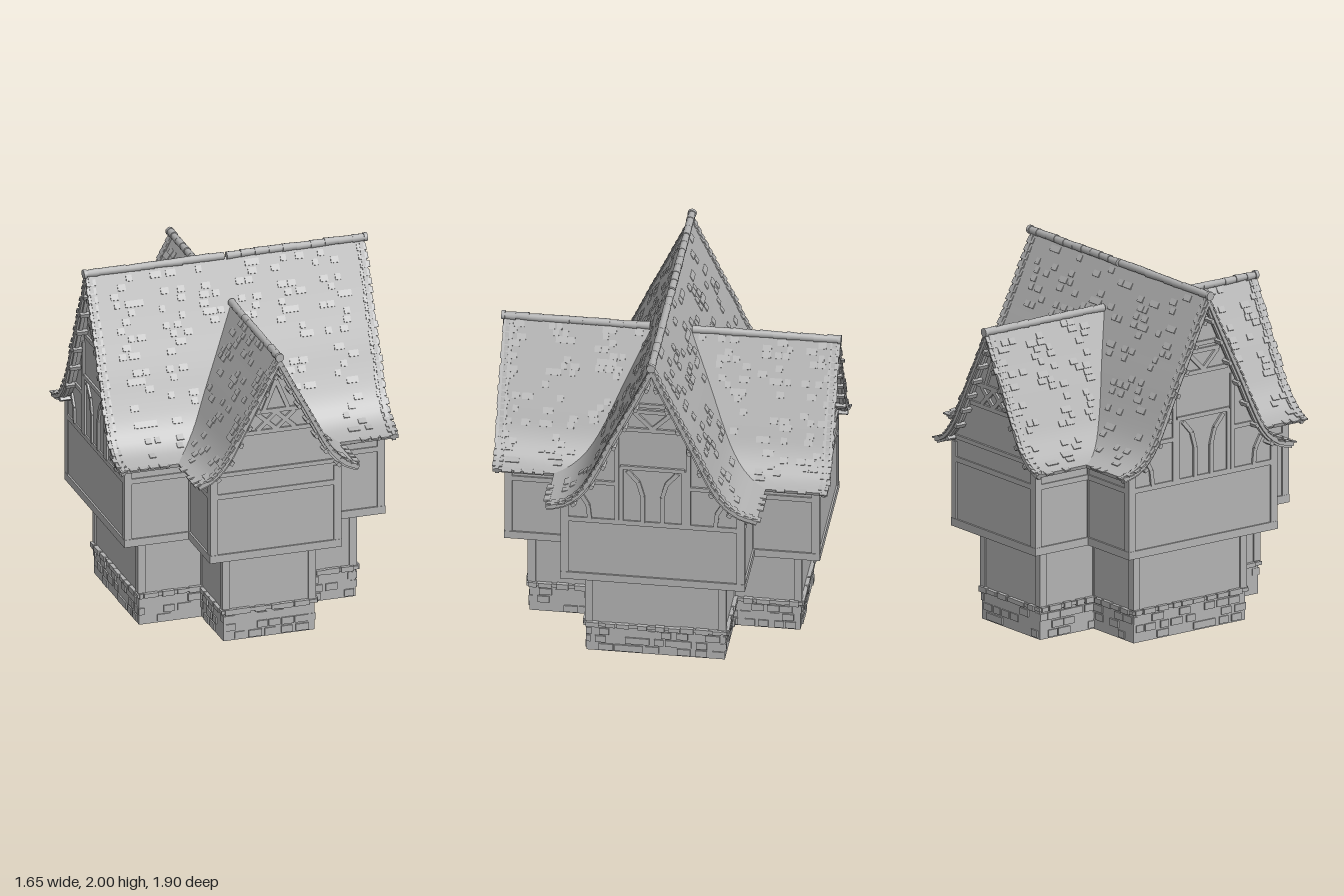
import * as THREE from 'three';
import { mergeGeometries } from 'three/addons/utils/BufferGeometryUtils.js';

const grey = new THREE.MeshStandardMaterial({ color: 0xb2b2b2, side: THREE.DoubleSide });
grey.name = 'plain grey';

let seed = 7;
const rnd = (a = 0, b = 1) => {
  seed = (seed * 16807) % 2147483647;
  return a + (b - a) * (seed / 2147483647);
};

function add(parent, name, geometry) {
  const mesh = new THREE.Mesh(Array.isArray(geometry) ? mergeGeometries(geometry) : geometry, grey);
  mesh.name = name;
  parent.add(mesh);
  return mesh;
}
const box = (w, h, d, x, y, z) => new THREE.BoxGeometry(w, h, d).translate(x, y, z);

// Cross-shaped plan: one wing x +-a by z +-b, the other x +-c by z +-d, grown by o
function plan([a, b, c, d], o = 0) {
  a += o; b += o; c += o; d += o;
  return [[a, -b], [a, b], [c, b], [c, d], [-c, d], [-c, b],
    [-a, b], [-a, -b], [-c, -b], [-c, -d], [c, -d], [c, -b]].map(p => new THREE.Vector2(...p));
}
function planSolid(dims, outer, inner, y0, y1) {
  const shape = new THREE.Shape(plan(dims, outer));
  if (inner !== null) shape.holes.push(new THREE.Path(plan(dims, inner)));
  return new THREE.ExtrudeGeometry(shape, { depth: y1 - y0, bevelEnabled: false })
    .rotateX(-Math.PI / 2).translate(0, y0, 0);
}
function cornerPosts(dims, y0, y1) {
  return plan(dims, -0.014).map(p => box(0.044, y1 - y0, 0.044, p.x, (y0 + y1) / 2, p.y));
}

// Roof profiles from ridge to eave
const curve = pts => new THREE.SplineCurve(pts.map(p => new THREE.Vector2(...p))).getSpacedPoints(24);
const mainProfile = curve([[0, 1.965], [0.14, 1.665], [0.24, 1.455], [0.31, 1.3], [0.37, 1.18],
  [0.43, 1.1], [0.5, 1.05], [0.59, 1.025]]);
const crossProfile = curve([[0, 1.73], [0.1, 1.54], [0.18, 1.39], [0.24, 1.275], [0.29, 1.18],
  [0.34, 1.11], [0.4, 1.055], [0.47, 1.025]]);

function widthAt(profile, y) {
  if (y >= profile[0].y) return 0;
  for (let i = 1; i < profile.length; i++) {
    const p = profile[i - 1], q = profile[i];
    if (y >= q.y) return p.x + (q.x - p.x) * (p.y - y) / (p.y - q.y);
  }
  return profile.at(-1).x;
}
const slopeAt = (profile, i) => {
  const p = profile[Math.max(i - 1, 0)], q = profile[Math.min(i + 1, profile.length - 1)];
  return Math.atan2(q.y - p.y, q.x - p.x);
};
function offset(profile, d) {
  return profile.map((p, i) => {
    const a = slopeAt(profile, i);
    if (i === 0) return new THREE.Vector2(0, p.y + d / Math.cos(a));
    return new THREE.Vector2(Math.max(0, p.x - Math.sin(a) * d), p.y + Math.cos(a) * d);
  });
}

// Ruled surface between two rows of points
function strip(A, B) {
  const pos = [], index = [];
  A.forEach((p, i) => {
    pos.push(...p, ...B[i]);
    if (i) index.push(2 * i - 2, 2 * i - 1, 2 * i, 2 * i, 2 * i - 1, 2 * i + 1);
  });
  const g = new THREE.BufferGeometry();
  g.setAttribute('position', new THREE.Float32BufferAttribute(pos, 3));
  g.setIndex(index);
  g.computeVertexNormals();
  return g;
}

function roofPanel(profile, other, end, s) {
  const under = offset(profile, -0.022);
  const inner = profile.map(p => Math.max(0, widthAt(other, p.y) - 0.012));
  const row = (pts, z) => pts.map((p, i) => [s * p.x, p.y, z ? z : inner[i]]);
  const t0 = row(profile), t1 = row(profile, end), b0 = row(under), b1 = row(under, end);
  return [strip(t0, t1), strip(b0, b1), strip(t1, b1),
    strip([t0.at(-1), t1.at(-1)], [b0.at(-1), b1.at(-1)])];
}

// Raised shingles: rough gable edge, eave row and scattered clusters
function shingles(profile, other, end, s) {
  const out = [];
  const tile = (i, z, w) => {
    const p = profile[i];
    if (z < widthAt(other, p.y) + 0.04 || z > end) return;
    out.push(new THREE.BoxGeometry(0.036, 0.008, w)
      .rotateZ(s * (slopeAt(profile, i) + 0.14)).translate(s * p.x, p.y + 0.001, z));
  };
  for (let i = 1; i < 24; i++) tile(i, end - rnd(0.016, 0.026), 0.055);
  for (let z = end; z > 0.3; z -= 0.06) if (rnd() < 0.7) tile(24, z - 0.02, rnd(0.035, 0.055));
  for (const i0 of [3, 8, 14, 20]) {
    for (let z0 = 0.08; z0 < end; z0 += 0.25) {
      for (let k = 0; k < 8; k++) {
        tile(i0 + Math.floor(rnd(-2, 3)), z0 + rnd(-0.07, 0.1), rnd(0.03, 0.05));
      }
    }
  }
  return out;
}

// Flat timber between two points of a gable wall
function timber([x0, y0], [x1, y1], w, z) {
  const len = Math.hypot(x1 - x0, y1 - y0);
  return new THREE.BoxGeometry(len, w, 0.024).rotateZ(Math.atan2(y1 - y0, x1 - x0))
    .translate((x0 + x1) / 2, (y0 + y1) / 2, z);
}

// One wing of the roof, facing local +z
function wing(name, o, angle) {
  const { profile, other, end, wall, half } = o;
  const g = new THREE.Group();
  g.name = name;
  const sides = [1, -1];
  add(g, 'roofSlopes', sides.flatMap(s => roofPanel(profile, other, end, s)));
  add(g, 'roofShingles', sides.flatMap(s => shingles(profile, other, end, s)));

  // Gable wall
  const low = offset(profile, -0.012).filter(p => p.x < half);
  const outline = [...low, new THREE.Vector2(half, 1.0)];
  const mirrored = pts => pts.map(p => new THREE.Vector2(-p.x, p.y)).reverse();
  const wallShape = new THREE.Shape([...outline, ...mirrored(outline).slice(0, -1)]);
  add(g, 'gableWall', new THREE.ExtrudeGeometry(wallShape, { depth: 0.03, bevelEnabled: false })
    .translate(0, 0, wall - 0.03));

  // Bargeboards along the roof edge
  const top = offset(profile, 0.006), bot = offset(profile, -0.034);
  const board = new THREE.Shape([...mirrored(top), ...top.slice(1), ...bot.slice().reverse(), ...mirrored(bot).reverse().slice(1)]);
  add(g, 'bargeboards', new THREE.ExtrudeGeometry(board, { depth: 0.022, bevelEnabled: false })
    .translate(0, 0, end - 0.034));

  // Purlin ends under the boards
  const inset = offset(profile, -0.038);
  add(g, 'purlinEnds', sides.flatMap(s => [3, 6, 9, 12, 15, 18, 21].map(i =>
    new THREE.BoxGeometry(0.026, 0.02, end - wall + 0.02).rotateZ(s * slopeAt(profile, i))
      .translate(s * inset[i].x, inset[i].y, (end + wall) / 2 - 0.008))));

  // Gable timbers, each mirrored
  add(g, 'gableTimbers', o.timbers.flatMap(line => sides.flatMap(s => line.slice(1).map((p, i) =>
    timber([s * line[i][0], line[i][1]], [s * p[0], p[1]], 0.024, wall)))));

  // Ridge tiles and end knob
  const ridge = [], y = profile[0].y + 0.008, z0 = Math.max(0, widthAt(other, profile[0].y) + 0.01);
  const n = Math.round((end + 0.012 - z0) / 0.078), step = (end + 0.012 - z0) / n;
  for (let i = 0; i < n; i++) {
    ridge.push(new THREE.CylinderGeometry(rnd(0.018, 0.021), rnd(0.021, 0.024), step + 0.004, 10)
      .rotateX(Math.PI / 2).translate(0, y + rnd(-0.002, 0.002), z0 + (i + 0.5) * step));
  }
  ridge.push(new THREE.CylinderGeometry(0.025, 0.025, 0.02, 12).rotateX(Math.PI / 2).translate(0, y, end + 0.004));
  add(g, 'ridgeTiles', ridge);

  // Small brackets below the eaves
  add(g, 'eaveBrackets', sides.map(s => box(0.08, 0.02, 0.04, s * (half + 0.03), 1.008, wall - 0.2)));
  g.rotation.y = angle;
  return g;
}

export function createModel() {
  seed = 7;
  const house = new THREE.Group();
  house.name = 'house';
  const lower = [0.63, 0.385, 0.265, 0.755], upper = [0.75, 0.505, 0.375, 0.87];

  // Ground floor, open underneath
  add(house, 'groundWalls', planSolid(lower, 0, -0.035, 0, 0.54));
  add(house, 'groundPosts', cornerPosts(lower, 0.19, 0.54));
  add(house, 'stoneLedge', planSolid(lower, 0.014, -0.045, 0.165, 0.185));

  // Stones of the base and its ledge
  const stones = [], corners = plan(lower, -0.0175);
  corners.forEach((p, i) => {
    const q = corners[(i + 1) % 12], len = p.distanceTo(q), alongX = Math.abs(q.x - p.x) > 0.01;
    for (let r = 0; r < 4; r++) {
      for (let t = rnd(-0.01, 0.03); t < len; t += rnd(0.07, 0.1)) {
        if (r < 3 && rnd() < 0.35) continue;
        const w = Math.min(rnd(0.05, 0.085), len - t + 0.02), thick = (r < 3 ? 0.047 : 0.075) + rnd(0, 0.008);
        const h = r < 3 ? 0.04 : rnd(0.024, 0.034), c = p.clone().lerp(q, (t + w / 2) / len);
        const y = r < 3 ? 0.028 + r * 0.05 : 0.175;
        stones.push(alongX ? box(w, h, thick, c.x, y, c.y) : box(thick, h, w, c.x, y, c.y));
      }
    }
  });
  add(house, 'baseStones', stones);

  // Overhanging upper floor
  add(house, 'upperWalls', planSolid(upper, 0, null, 0.54, 1.02));
  add(house, 'upperSill', planSolid(upper, 0.01, -0.03, 0.53, 0.575));
  add(house, 'upperRail', planSolid(upper, 0.008, -0.02, 0.905, 0.935));
  add(house, 'upperPosts', cornerPosts(upper, 0.55, 1.02));

  // Floor boards seen from beneath
  const boards = [];
  for (let z = -0.82; z < 0.83; z += 0.041) boards.push(box(0.7, 0.012, 0.03, 0, 0.538, z));
  for (let x = 0.385; x < 0.72; x += 0.041) {
    for (const s of [1, -1]) boards.push(box(0.03, 0.012, 0.95, s * x, 0.538, 0));
  }
  add(house, 'floorBoards', boards);

  // Roof wings
  const main = {
    profile: mainProfile, other: crossProfile, end: 0.812, wall: 0.75, half: 0.505,
    timbers: [
      [[0, 1.28], [0.18, 1.28]], [[0.175, 0.93], [0.175, 1.28]], [[0.2, 0.93], [0.2, 1.48]],
      [[0.055, 0.93], [0.055, 1.1], [0.08, 1.19], [0.14, 1.26]],
      [[0.2, 1.17], [0.35, 1.17]], [[0.35, 0.93], [0.36, 1.02], [0.4, 1.09]],
      [[0, 1.53], [0.17, 1.53]], [[0, 1.54], [0.1, 1.64]], [[0, 1.65], [0.11, 1.65]], [[0, 1.69], [0.1, 1.69]],
    ],
  };
  const cross = {
    profile: crossProfile, other: mainProfile, end: 0.932, wall: 0.87, half: 0.375,
    timbers: [
      [[0, 1.05], [0.35, 1.05]], [[0, 1.28], [0.21, 1.28]], [[0, 1.4], [0.15, 1.4]],
      [[0, 1.29], [0.11, 1.39]], [[0.11, 1.29], [0, 1.39]], [[0, 1.58], [0.07, 1.41]],
    ],
  };
  house.add(wing('leftRoof', main, Math.PI / 2), wing('rightRoof', main, -Math.PI / 2),
    wing('frontRoof', cross, 0), wing('backRoof', cross, Math.PI));
  return house;
}
